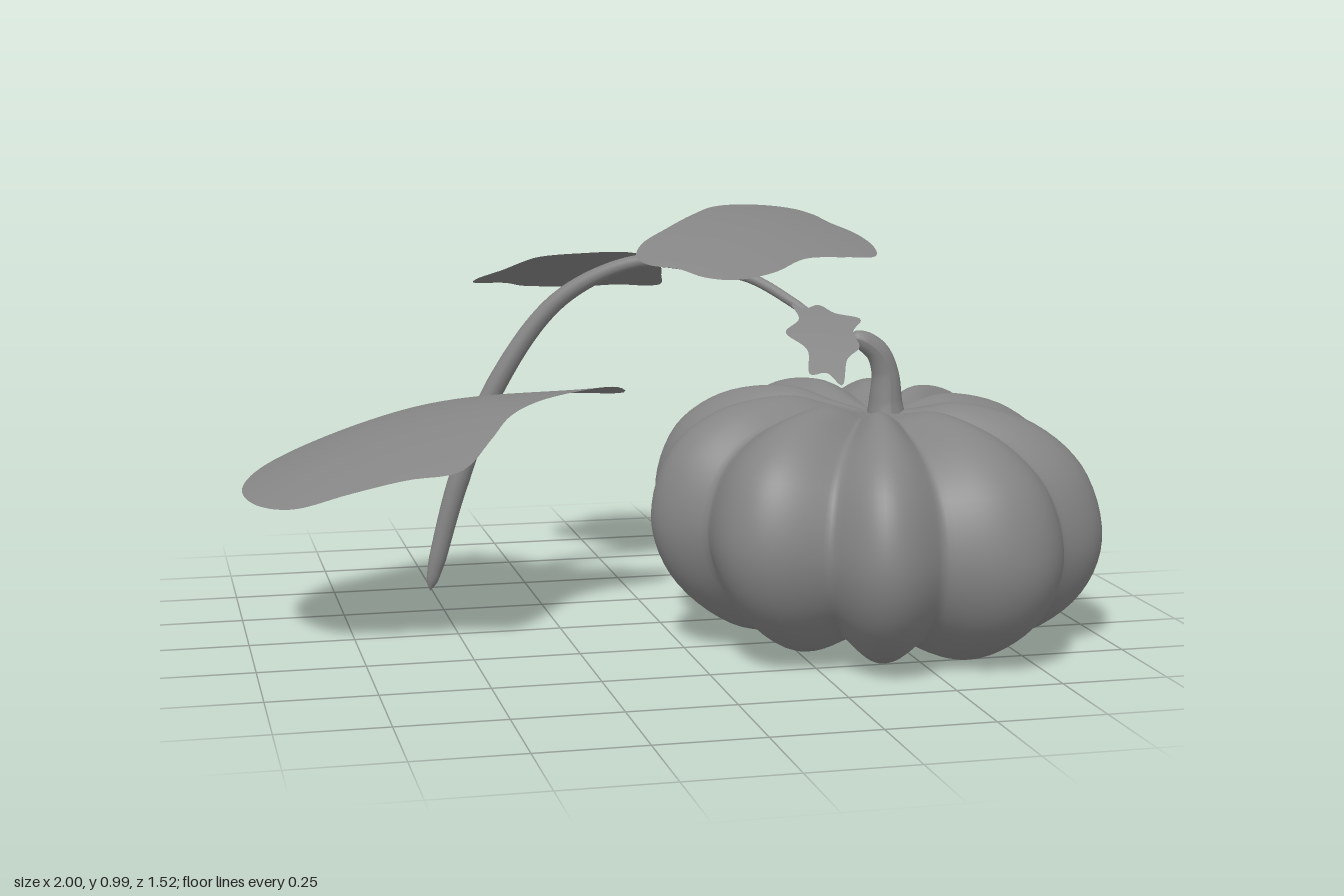
import * as THREE from 'three';
import { mergeVertices } from 'three/addons/utils/BufferGeometryUtils.js';

const material = new THREE.MeshStandardMaterial({ color: 0x848484 });
const leafMaterial = new THREE.MeshStandardMaterial({ color: 0x848484, side: THREE.DoubleSide });

// Creases between lobes: direction in degrees from +x towards +z, and depth
const GROOVES = [[0, 0.06], [39, 0.14], [88, 0.13], [119, 0.14], [160, 0.13], [195, 0.14],
  [230, 0.13], [268, 0.13], [305, 0.14], [331, 0.12], [360, 0.06]];

// How far the skin is pressed in: 0 in the middle of a lobe, full depth in a crease
function creaseDepth(x, z) {
  const a = (THREE.MathUtils.radToDeg(Math.atan2(z, x)) + 360) % 360;
  let i = 0;
  while (i < GROOVES.length - 2 && a >= GROOVES[i + 1][0]) i++;
  const [start, startDepth] = GROOVES[i];
  const [end, endDepth] = GROOVES[i + 1];
  const u = (2 * (a - start)) / (end - start) - 1;
  return (u < 0 ? startDepth : endDepth) * u * u * (1.5 - 0.5 * u * u);
}

// Lathed body with creases pressed in and a slight lean
function pumpkinGeometry() {
  const profile = new THREE.SplineCurve([
    [0, -0.19], [0.08, -0.21], [0.2, -0.27], [0.35, -0.26], [0.49, -0.155], [0.545, -0.01],
    [0.5, 0.15], [0.38, 0.25], [0.22, 0.287], [0.1, 0.265], [0, 0.245],
  ].map(([r, y]) => new THREE.Vector2(r, y)));
  const points = profile.getPoints(56);
  points.forEach((p) => { p.x = Math.max(p.x, 0); });
  let g = new THREE.LatheGeometry(points, 220);
  g.deleteAttribute('uv');
  g.deleteAttribute('normal');
  g = mergeVertices(g, 1e-5);
  const pos = g.attributes.position;
  for (let i = 0; i < pos.count; i++) {
    const x = pos.getX(i), y = pos.getY(i), z = pos.getZ(i);
    const fade = THREE.MathUtils.smoothstep(Math.hypot(x, z), 0.0, 0.3);
    const press = 1 - fade * creaseDepth(x, z);
    pos.setXYZ(i, x * press, y * press - 0.05 * (x + z), z * press);
  }
  g.computeVertexNormals();
  return g;
}

// Round tube along points [x, y, z, radius]
function taperedTube(stations, segments, sides) {
  const curve = new THREE.CatmullRomCurve3(stations.map(([x, y, z]) => new THREE.Vector3(x, y, z)));
  const radii = stations.map((s) => s[3]);
  const g = new THREE.TubeGeometry(curve, segments, 1, sides);
  const pos = g.attributes.position;
  const v = new THREE.Vector3();
  for (let i = 0; i <= segments; i++) {
    const t = curve.getUtoTmapping(i / segments) * (radii.length - 1);
    const k = Math.min(Math.floor(t), radii.length - 2);
    const radius = THREE.MathUtils.lerp(radii[k], radii[k + 1], t - k);
    const centre = curve.getPointAt(i / segments);
    for (let j = 0; j <= sides; j++) {
      const n = i * (sides + 1) + j;
      v.fromBufferAttribute(pos, n).sub(centre).multiplyScalar(radius).add(centre);
      pos.setXYZ(n, v.x, v.y, v.z);
    }
  }
  g.computeVertexNormals();
  return g;
}

// Thin sheet: rings shrink from a smooth x-z outline to its centre, height by a rule
function leafGeometry(outline, height) {
  const curve = new THREE.CatmullRomCurve3(outline.map(([x, z]) => new THREE.Vector3(x, 0, z)), true);
  const around = 96, rings = 14;
  const edge = curve.getSpacedPoints(around).slice(0, around);
  const centre = edge.reduce((s, p) => s.add(p), new THREE.Vector3()).divideScalar(around);
  const positions = [], index = [];
  for (let i = 0; i <= rings; i++) {
    for (const p of edge) {
      const q = centre.clone().lerp(p, Math.max(i / rings, 0.001));
      positions.push(q.x, height(q.x, q.z), q.z);
    }
  }
  for (let i = 0; i < rings; i++) {
    for (let j = 0; j < around; j++) {
      const a = i * around + j, b = i * around + ((j + 1) % around);
      index.push(a, a + around, b, b, a + around, b + around);
    }
  }
  const g = new THREE.BufferGeometry();
  g.setAttribute('position', new THREE.Float32BufferAttribute(positions, 3));
  g.setIndex(index);
  g.computeVertexNormals();
  // Make the sheet face up
  if (g.attributes.normal.getY(around * 5) < 0) {
    g.setIndex(index.reverse());
    g.computeVertexNormals();
  }
  return g;
}

const LEAVES = {
  largeLeaf: {
    outline: [[-0.06, -0.14], [-0.2, -0.2], [-0.3, -0.25], [-0.38, -0.33], [-0.44, -0.46], [-0.53, -0.53],
      [-0.63, -0.49], [-0.77, -0.39], [-0.93, -0.27], [-1, -0.1], [-0.98, 0.08], [-0.9, 0.2], [-0.78, 0.24],
      [-0.65, 0.27], [-0.53, 0.3], [-0.45, 0.21], [-0.38, 0.1], [-0.3, 0.04], [-0.15, -0.01], [-0.08, -0.08]],
    height: (x, z) => 0.57 - 0.32 * (x + 0.2) ** 2 - 0.45 * (z + 0.12) ** 2
      + 1.2 * Math.max(0, x + 0.6) ** 2 * (z + 0.12),
  },
  backLeaf: {
    outline: [[-0.05, -0.14], [0.02, -0.19], [0.07, -0.3], [0.1, -0.42], [0.13, -0.58], [0.1, -0.63],
      [0.04, -0.66], [-0.03, -0.73], [-0.1, -0.76], [-0.2, -0.74], [-0.27, -0.65], [-0.36, -0.58],
      [-0.37, -0.5], [-0.32, -0.38], [-0.29, -0.27], [-0.26, -0.2], [-0.16, -0.17]],
    height: (x, z) => 0.893 + 0.245 * (z + 0.2) - 0.3 * (x + 0.12) ** 2 - 0.03 * (x + 0.12),
  },
  rightLeaf: {
    outline: [[-0.03, -0.13], [0, -0.2], [0.08, -0.27], [0.17, -0.36], [0.25, -0.44], [0.36, -0.47],
      [0.46, -0.46], [0.5, -0.4], [0.52, -0.32], [0.57, -0.25], [0.59, -0.17], [0.57, -0.09], [0.48, -0.05],
      [0.37, -0.02], [0.27, 0.05], [0.17, 0.07], [0.1, 0.04], [0.05, -0.02], [-0.01, -0.07]],
    height: (x, z) => 0.95 - 0.25 * (z + 0.2) - 0.35 * (z + 0.2) ** 2 - 0.4 * (x - 0.28) ** 2,
  },
  smallLeaf: {
    outline: [[0.28, 0.167], [0.31, 0.183], [0.345, 0.172], [0.375, 0.2], [0.435, 0.222], [0.405, 0.255],
      [0.413, 0.285], [0.375, 0.31], [0.35, 0.354], [0.32, 0.333], [0.277, 0.333], [0.285, 0.29],
      [0.243, 0.25], [0.285, 0.215]],
    height: (x, z) => 0.795 - 0.55 * (z - 0.18) - 2.2 * (z - 0.18) ** 2,
  },
};

export function createModel() {
  const group = new THREE.Group();
  const add = (name, geometry, mat = material) => {
    const mesh = new THREE.Mesh(geometry, mat);
    mesh.name = name;
    group.add(mesh);
    return mesh;
  };

  add('pumpkin', pumpkinGeometry()).position.set(0.468, 0.297, 0.226);

  // Thick curved stalk on the pumpkin
  add('stem', taperedTube([
    [0.5, 0.52, 0.225, 0.05], [0.498, 0.57, 0.225, 0.04], [0.495, 0.64, 0.227, 0.032], [0.475, 0.69, 0.23, 0.028],
    [0.44, 0.718, 0.23, 0.024], [0.415, 0.727, 0.23, 0.017], [0.405, 0.73, 0.23, 0.002],
  ], 40, 16));

  // Vine arching up from the stalk and down to the ground
  add('vine', taperedTube([
    [0.43, 0.72, 0.23, 0.011], [0.36, 0.75, 0.18, 0.011], [0.3, 0.8, 0.1, 0.012], [0.22, 0.85, 0, 0.013],
    [0.1, 0.875, -0.08, 0.015], [-0.02, 0.878, -0.16, 0.017], [-0.2, 0.78, -0.25, 0.022], [-0.35, 0.57, -0.295, 0.026],
    [-0.45, 0.32, -0.31, 0.027], [-0.505, 0.12, -0.318, 0.022], [-0.52, 0.06, -0.32, 0.014], [-0.525, 0.038, -0.32, 0.001],
  ], 120, 16));

  for (const [name, { outline, height }] of Object.entries(LEAVES)) {
    add(name, leafGeometry(outline, height), leafMaterial);
  }
  return group;
}
